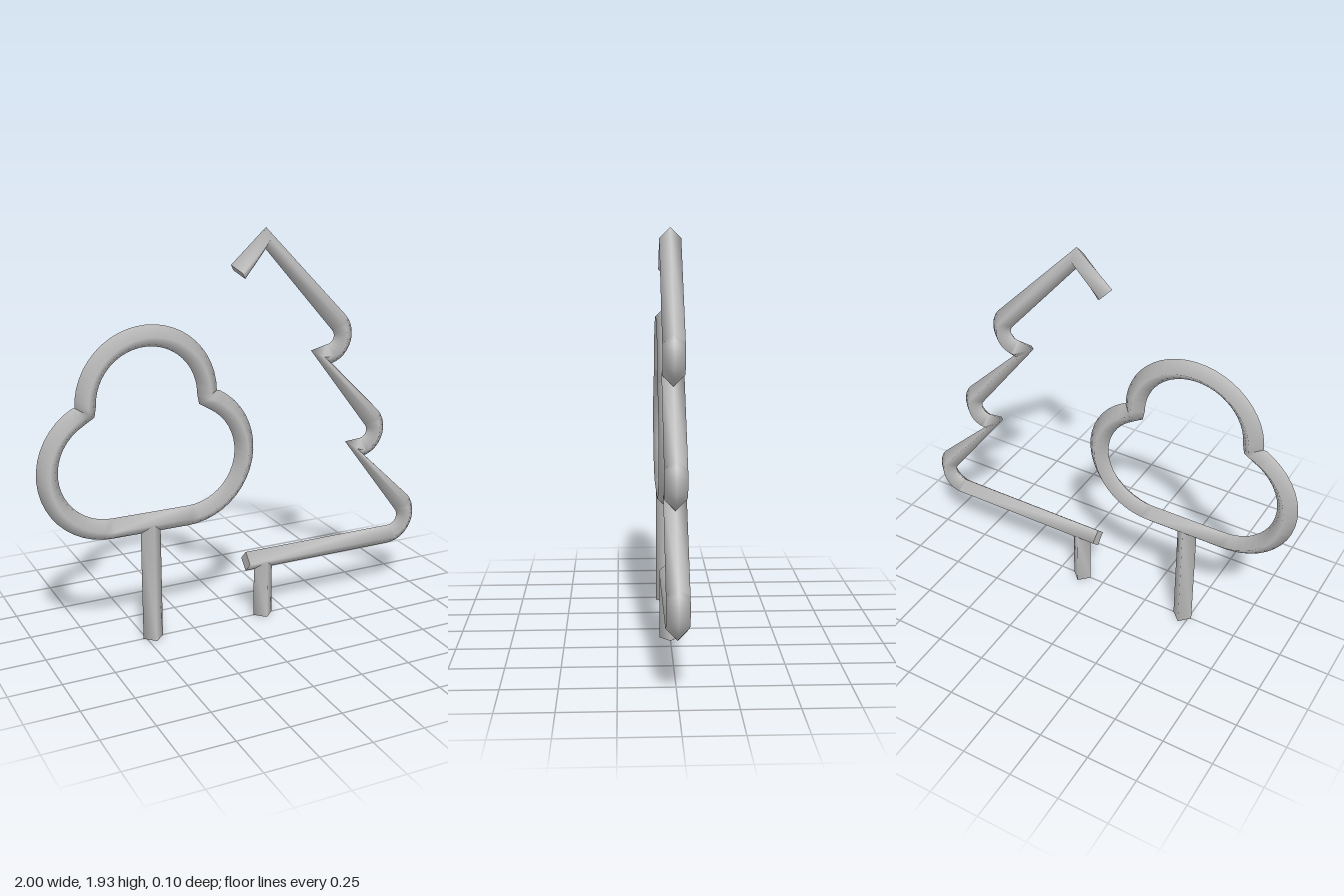
import * as THREE from 'three';

const R = 0.05;
const V = (x, y) => new THREE.Vector2(x, y);

// points on a circular arc, angles in degrees
function arc(cx, cy, r, from, to, steps = 12) {
  return Array.from({ length: steps + 1 }, (_, i) => {
    const a = THREE.MathUtils.degToRad(from + ((to - from) * i) / steps);
    return V(cx + r * Math.cos(a), cy + r * Math.sin(a));
  });
}

// four-sided diamond tube swept along a flat path; rings lie on each corner's bisector
function diamondTube(path, closed = false) {
  const n = path.length, pos = [], idx = [];
  const dir = (a, b) => b.clone().sub(a).normalize();
  const ring = (i) => {
    const p = path[i], t = V(0, 0);
    if (closed || i > 0) t.add(dir(path[(i + n - 1) % n], p));
    if (closed || i < n - 1) t.add(dir(p, path[(i + 1) % n]));
    t.normalize();
    pos.push(p.x - t.y * R, p.y + t.x * R, 0, p.x, p.y, R);
    pos.push(p.x + t.y * R, p.y - t.x * R, 0, p.x, p.y, -R);
  };
  for (let i = 0; i < n; i++) ring(i);
  for (let i = 0; i < (closed ? n : n - 1); i++) {
    const j = (i + 1) % n;
    for (let k = 0; k < 4; k++) {
      const l = (k + 1) % 4;
      const a = i * 4 + k, b = i * 4 + l, c = j * 4 + k, d = j * 4 + l;
      idx.push(a, b, c, b, d, c);
    }
  }
  // flat end caps on their own vertices
  if (!closed) {
    const s = n * 4;
    ring(0);
    ring(n - 1);
    idx.push(s, s + 2, s + 1, s, s + 3, s + 2);
    idx.push(s + 4, s + 5, s + 6, s + 4, s + 6, s + 7);
  }
  const g = new THREE.BufferGeometry();
  g.setAttribute('position', new THREE.Float32BufferAttribute(pos, 3));
  g.setIndex(idx);
  g.computeVertexNormals();
  return g;
}

export function createModel() {
  const model = new THREE.Group();
  model.name = 'treeOutlines';
  const grey = new THREE.MeshStandardMaterial({ color: 0xc0c0c0 });
  grey.name = 'grey';
  const add = (parent, name, path, closed) => {
    const mesh = new THREE.Mesh(diamondTube(path, closed), grey);
    mesh.name = name;
    parent.add(mesh);
  };

  // round tree: two side lobes and a top lobe in one closed loop
  const round = new THREE.Group();
  round.name = 'roundTree';
  const cx = -0.465;
  add(round, 'roundCrown', [
    ...arc(cx + 0.19, 0.89, 0.295, -90, 69, 20),
    ...arc(cx, 1.19, 0.295, 0, 180, 24),
    ...arc(cx - 0.19, 0.89, 0.295, 111, 270, 20),
  ], true);
  add(round, 'roundTrunk', [V(cx, 0), V(cx, 0.595)]);

  // half pine: open tip, three hooked branches, base bar
  const pine = new THREE.Group();
  pine.name = 'pineTree';
  add(pine, 'pineOutline', [
    V(-0.01, 1.735), V(0.13, 1.88),
    ...arc(0.46, 1.39, 0.09, 43, -90), V(0.42, 1.305),
    ...arc(0.66, 0.89, 0.09, 41, -90), V(0.62, 0.815),
    ...arc(0.85, 0.4, 0.1, 41, -90), V(0.03, 0.3),
  ]);
  add(pine, 'pineTrunk', [V(0.125, 0), V(0.125, 0.3)]);

  model.add(round, pine);
  return model;
}
